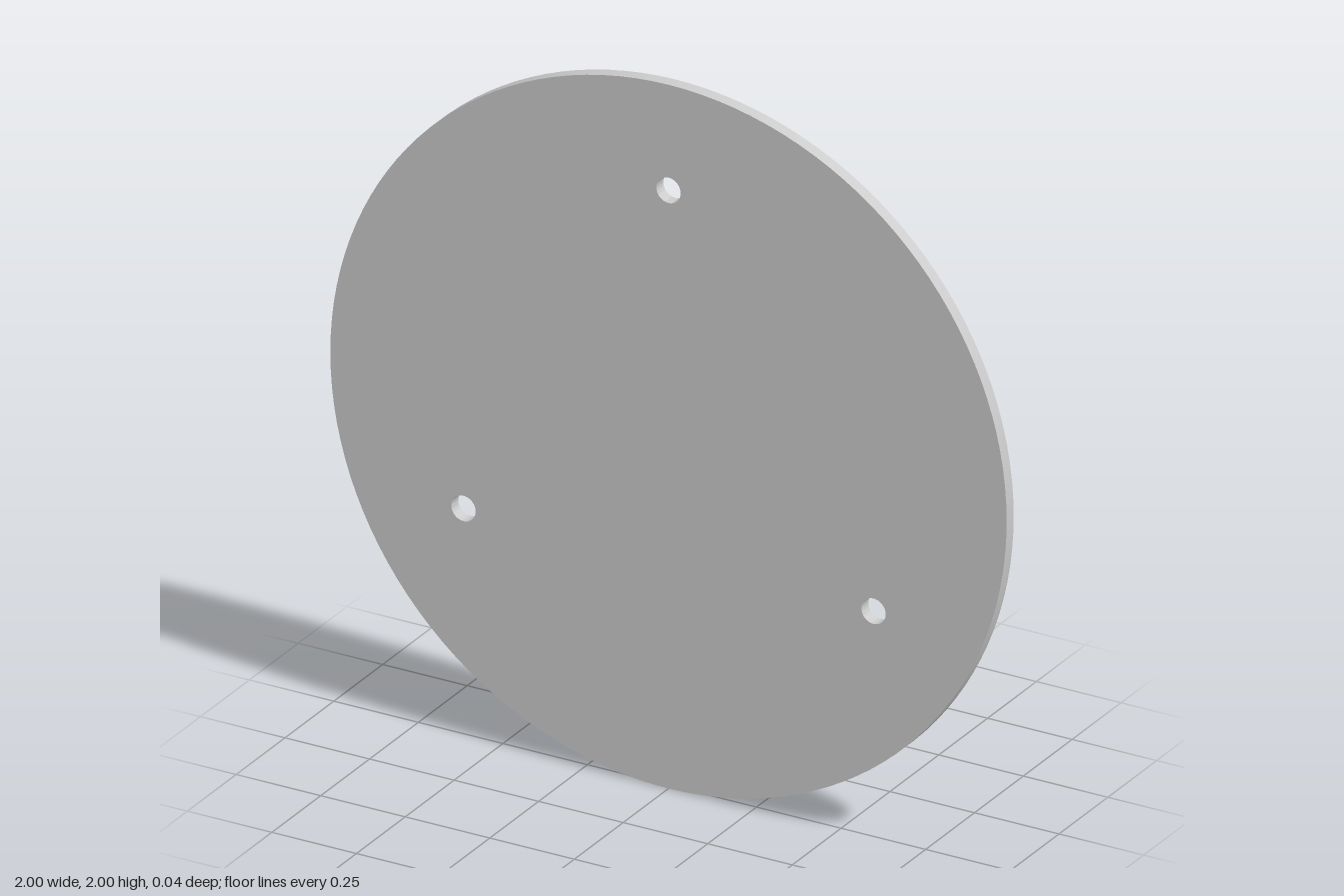
import * as THREE from 'three';
import { toCreasedNormals } from 'three/addons/utils/BufferGeometryUtils.js';

const RADIUS = 1;
const THICKNESS = 0.036;
const HOLE_RADIUS = 0.036;
const HOLE_CIRCLE = 0.7;

export function createModel() {
  const group = new THREE.Group();
  group.name = 'drilledDisc';

  // Round outline
  const outline = new THREE.Shape();
  outline.absarc(0, 0, RADIUS, 0, Math.PI * 2);

  // Three through holes, evenly spaced, the first at the top
  for (let i = 0; i < 3; i++) {
    const angle = Math.PI / 2 + (i * Math.PI * 2) / 3;
    const hole = new THREE.Path();
    hole.absarc(HOLE_CIRCLE * Math.cos(angle), HOLE_CIRCLE * Math.sin(angle), HOLE_RADIUS, 0, Math.PI * 2, true);
    outline.holes.push(hole);
  }

  // Upright plate with smooth rims and sharp edges
  const plate = new THREE.ExtrudeGeometry(outline, { depth: THICKNESS, bevelEnabled: false, curveSegments: 64 });
  plate.translate(0, RADIUS, -THICKNESS / 2);

  const disc = new THREE.Mesh(toCreasedNormals(plate, Math.PI / 6), new THREE.MeshStandardMaterial({ color: 0xcccccc }));
  disc.name = 'disc';
  group.add(disc);
  return group;
}
